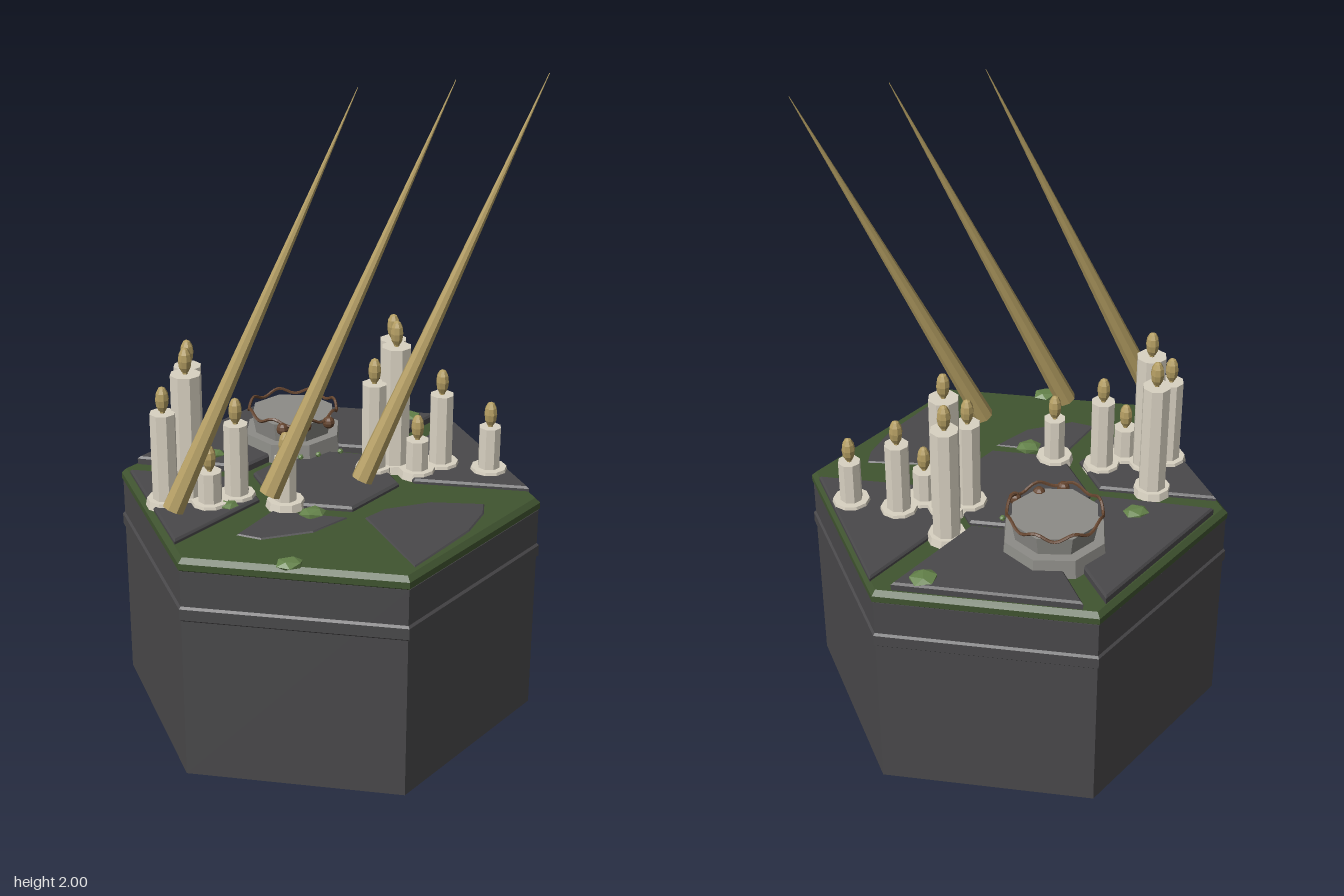
import * as THREE from 'three';

const material = (name, color) => {
  const m = new THREE.MeshStandardMaterial({ color });
  m.name = name;
  return m;
};

export function createModel() {
  const slate = material('slate', 0x4a494b);
  const moss = material('moss', 0x405430);
  const wax = material('wax', 0xd9d2c2);
  const gold = material('gold', 0xb39d62);
  const stone = material('stone', 0x8d8c87);
  const leaf = material('leaf', 0x64824a);
  const copper = material('copper', 0x65452f);

  const model = new THREE.Group();
  model.name = 'candleShrine';
  const cx = 0.005;

  // Faceted mesh helper
  const add = (parent, name, geometry, mat, x = 0, y = 0, z = 0) => {
    const g = geometry.index ? geometry.toNonIndexed() : geometry;
    g.computeVertexNormals();
    const mesh = new THREE.Mesh(g, mat);
    mesh.name = name;
    mesh.position.set(x, y, z);
    parent.add(mesh);
    return mesh;
  };
  // Upright prism from y0 to y1
  const prism = (parent, name, mat, r0, r1, y0, y1, sides, x, z) =>
    add(parent, name, new THREE.CylinderGeometry(r1, r0, y1 - y0, sides), mat, x, (y0 + y1) / 2, z);

  // Hexagonal plinth
  prism(model, 'plinthBody', slate, 0.655, 0.655, 0, 0.68, 6, cx, 0);
  const band = [[0.65, 0.515], [0.662, 0.525], [0.662, 0.56], [0.65, 0.572]];
  add(model, 'plinthBand', new THREE.LatheGeometry(band.map(p => new THREE.Vector2(...p)), 6), slate, cx);

  // Moss cap with a softened rim
  const rim = [[0, 0.675], [0.646, 0.675], [0.659, 0.685], [0.659, 0.705], [0.643, 0.72], [0, 0.72]];
  add(model, 'mossCap', new THREE.LatheGeometry(rim.map(p => new THREE.Vector2(...p)), 6), moss, cx);

  // Paving slabs, outlined in x and z
  const slab = (name, pts, top) => {
    const bevel = 0.007;
    const shape = new THREE.Shape(pts.map(([x, z]) => new THREE.Vector2(x, -z)));
    const g = new THREE.ExtrudeGeometry(shape, {
      depth: 0.02, bevelEnabled: true, bevelThickness: bevel, bevelSize: bevel, bevelOffset: -bevel, bevelSegments: 1,
    });
    g.rotateX(-Math.PI / 2);
    add(model, name, g, slate, 0, top - 0.02 - bevel, 0);
  };
  const hex = [];
  for (let i = 0; i < 6; i++) {
    const a = i * Math.PI / 3;
    hex.push([cx + 0.23 * Math.sin(a), -0.01 + 0.23 * Math.cos(a)]);
  }
  slab('centreSlab', hex, 0.735);
  slab('rightSlab', [[-0.55, -0.28], [-0.235, -0.1], [-0.235, 0.06], [-0.55, 0.24]], 0.735);
  slab('leftSlab', [[0.565, -0.28], [0.255, -0.1], [0.255, 0.1], [0.565, 0.275]], 0.735);
  slab('backRightSlab', [[-0.03, -0.62], [-0.02, -0.26], [-0.215, -0.155], [-0.51, -0.34]], 0.746);
  slab('backLeftSlab', [[0.04, -0.62], [0.52, -0.34], [0.21, -0.155], [0.03, -0.26]], 0.746);
  // Front slabs, mostly sunk in the moss
  slab('frontLeftSlab', [[0.022, 0.27], [0.1, 0.235], [0.25, 0.24], [0.4, 0.31], [0.37, 0.37], [0.28, 0.46], [0.04, 0.61]], 0.724);
  slab('frontRightSlab', [[-0.37, 0.245], [-0.22, 0.13], [-0.02, 0.255], [-0.15, 0.31], [-0.31, 0.3]], 0.724);

  // Candles: x, z, wax height, radius, repeated on both sides
  const candles = [
    [-0.165, -0.025, 1.02, 0.04], [-0.09, -0.032, 1.13, 0.047], [-0.048, -0.16, 1.105, 0.043],
    [-0.045, 0.04, 0.84, 0.037], [0.046, 0.016, 0.97, 0.038], [0.17, 0.11, 0.88, 0.035],
  ];
  for (const [side, offset] of [['right', -0.338], ['left', 0.336]]) {
    const cluster = new THREE.Group();
    cluster.name = side + 'Candles';
    cluster.position.x = offset;
    model.add(cluster);
    for (const [x, z, top, r] of candles) {
      prism(cluster, 'waxPool', wax, 0.061, 0.056, 0.72, 0.745, 10, x, z);
      prism(cluster, 'candle', wax, r, r, 0.74, top, 8, x, z);
      prism(cluster, 'wick', gold, 0.008, 0.008, top, top + 0.015, 6, x, z);
      const flame = new THREE.SphereGeometry(0.021, 8, 6);
      flame.scale(1, 1.95, 1);
      add(cluster, 'flame', flame, gold, x, top + 0.042, z);
    }
  }

  // Three leaning spikes
  for (const x of [-0.555, -0.268, 0.018]) {
    const from = new THREE.Vector3(x, 0.843, 0.26);
    const to = new THREE.Vector3(x + 0.551, 2, 0.26);
    const dir = to.clone().sub(from);
    const mid = from.clone().add(to).multiplyScalar(0.5);
    const spike = add(model, 'spike', new THREE.CylinderGeometry(0.001, 0.033, dir.length(), 8), gold, mid.x, mid.y, mid.z);
    spike.quaternion.setFromUnitVectors(new THREE.Vector3(0, 1, 0), dir.normalize());
  }

  // Stone basin with a wavy copper garland
  const basin = new THREE.Group();
  basin.name = 'basin';
  basin.position.set(cx, 0, -0.318);
  model.add(basin);
  prism(basin, 'basinBase', stone, 0.165, 0.158, 0.72, 0.78, 8, 0, 0);
  prism(basin, 'basinTop', stone, 0.125, 0.137, 0.78, 0.842, 8, 0, 0);
  const wave = [];
  for (let i = 0; i < 64; i++) {
    const a = i / 64 * Math.PI * 2;
    wave.push(new THREE.Vector3(0.142 * Math.sin(a), 0.852 + 0.01 * Math.cos(8 * a), 0.142 * Math.cos(a)));
  }
  add(basin, 'garland', new THREE.TubeGeometry(new THREE.CatmullRomCurve3(wave, true), 64, 0.005, 5, true), copper);
  for (const x of [-0.078, 0, 0.078]) {
    add(basin, 'bead', new THREE.SphereGeometry(0.02, 8, 6), copper, x, 0.835, 0.125);
  }
  for (const x of [-0.105, -0.03, 0.03, 0.105]) {
    add(basin, 'basinMoss', new THREE.IcosahedronGeometry(0.01, 0), leaf, x, 0.745, 0.16);
  }

  // Moss clumps
  const clumps = [
    [-0.28, -0.275, 0.043, 0.745], [0.425, -0.35, 0.048, 0.745], [-0.115, 0.2, 0.043, 0.73],
    [-0.285, 0.48, 0.043, 0.73], [-0.34, 0.075, 0.035, 0.735],
  ];
  clumps.forEach(([x, z, r, y], i) => {
    const g = new THREE.IcosahedronGeometry(r, 0);
    g.rotateY(i * 1.3);
    g.scale(1, 0.35, 0.85);
    add(model, 'mossClump', g, leaf, x, y, z);
  });

  return model;
}
